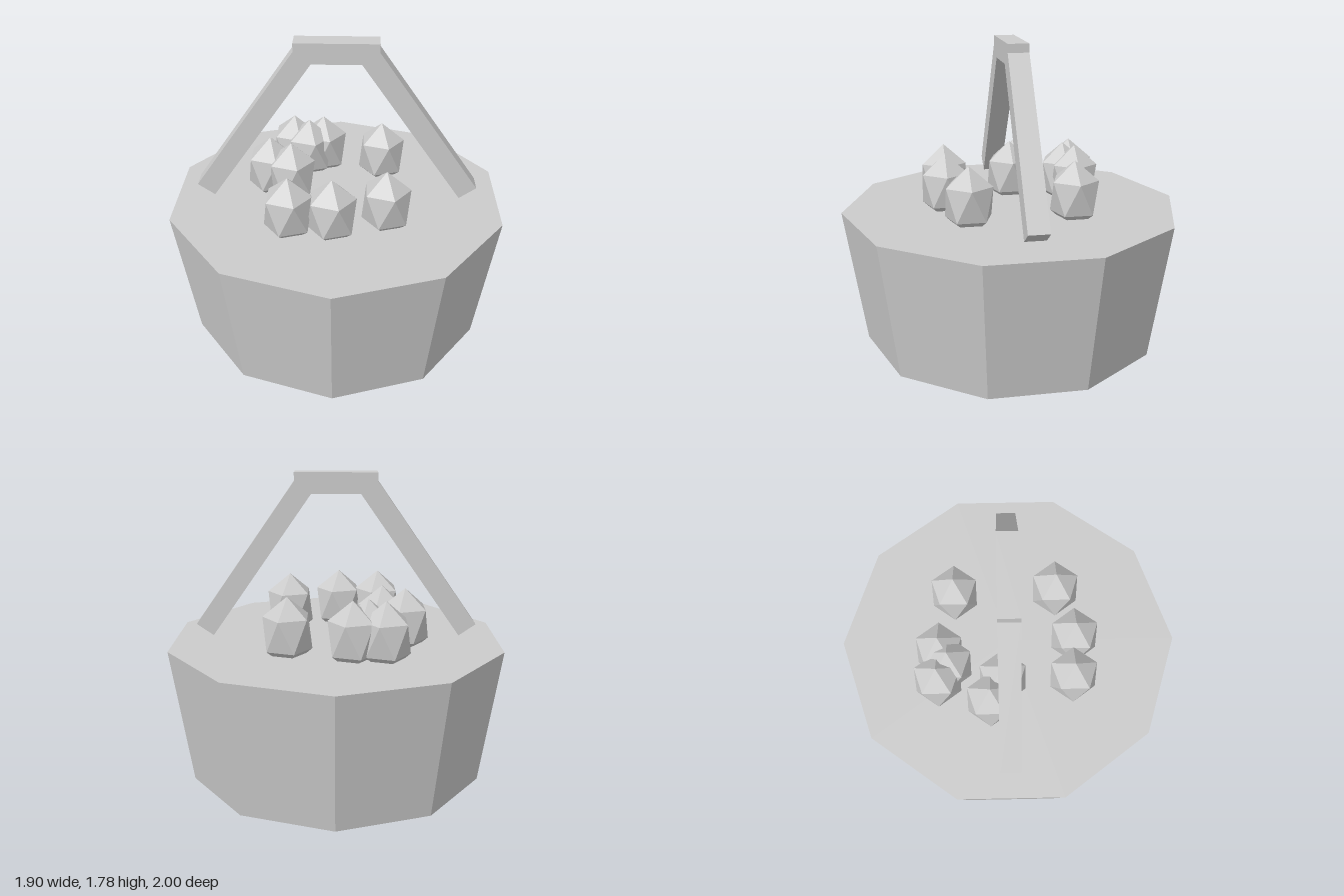
import * as THREE from 'three';
import { ConvexGeometry } from 'three/addons/geometries/ConvexGeometry.js';

const material = new THREE.MeshStandardMaterial({ color: 0xcccccc, flatShading: true });

function addPart(parent, name, geometry, x, y, z) {
  const mesh = new THREE.Mesh(geometry, material);
  mesh.name = name;
  mesh.position.set(x, y, z);
  parent.add(mesh);
  return mesh;
}

// Tall icosahedron standing on one point: two poles and two staggered rings of five
function eggGeometry(radius, halfHeight) {
  const ringY = halfHeight / Math.sqrt(5);
  const ringRadius = radius * 2 / Math.sqrt(5);
  const points = [new THREE.Vector3(0, halfHeight, 0), new THREE.Vector3(0, -halfHeight, 0)];
  for (let i = 0; i < 10; i++) {
    const a = i * Math.PI / 5;
    points.push(new THREE.Vector3(
      ringRadius * Math.cos(a), i % 2 ? -ringY : ringY, ringRadius * Math.sin(a)));
  }
  return new ConvexGeometry(points);
}

export function createModel() {
  const model = new THREE.Group();
  model.name = 'eggBasket';

  // Ten-sided tapered basket
  addPart(model, 'basket', new THREE.CylinderGeometry(1, 0.88, 0.8, 10), 0, 0.4, 0);

  // Handle: a grip with two slanted arms
  const handle = new THREE.Group();
  handle.name = 'handle';
  model.add(handle);
  addPart(handle, 'handleGrip', new THREE.BoxGeometry(0.475, 0.12, 0.12), 0, 1.72, 0);
  for (const side of [-1, 1]) {
    const arm = addPart(handle, side > 0 ? 'handleArmLeft' : 'handleArmRight',
      new THREE.BoxGeometry(0.12, 1.05, 0.12), side * 0.473, 1.29, 0);
    arm.rotation.z = side * THREE.MathUtils.degToRad(35);
  }

  // Eggs resting half sunk in the top, as [x, z]
  const eggs = new THREE.Group();
  eggs.name = 'eggs';
  model.add(eggs);
  const egg = eggGeometry(0.155, 0.205);
  const places = [
    [-0.275, -0.415], [-0.093, -0.407], [-0.18, -0.355],
    [-0.4, -0.11], [-0.27, -0.037], [-0.26, 0.375],
    [-0.016, 0.39], [0.288, 0.288], [0.27, -0.32],
  ];
  places.forEach(([x, z], i) => addPart(eggs, `egg${i + 1}`, egg, x, 0.92, z));

  return model;
}
